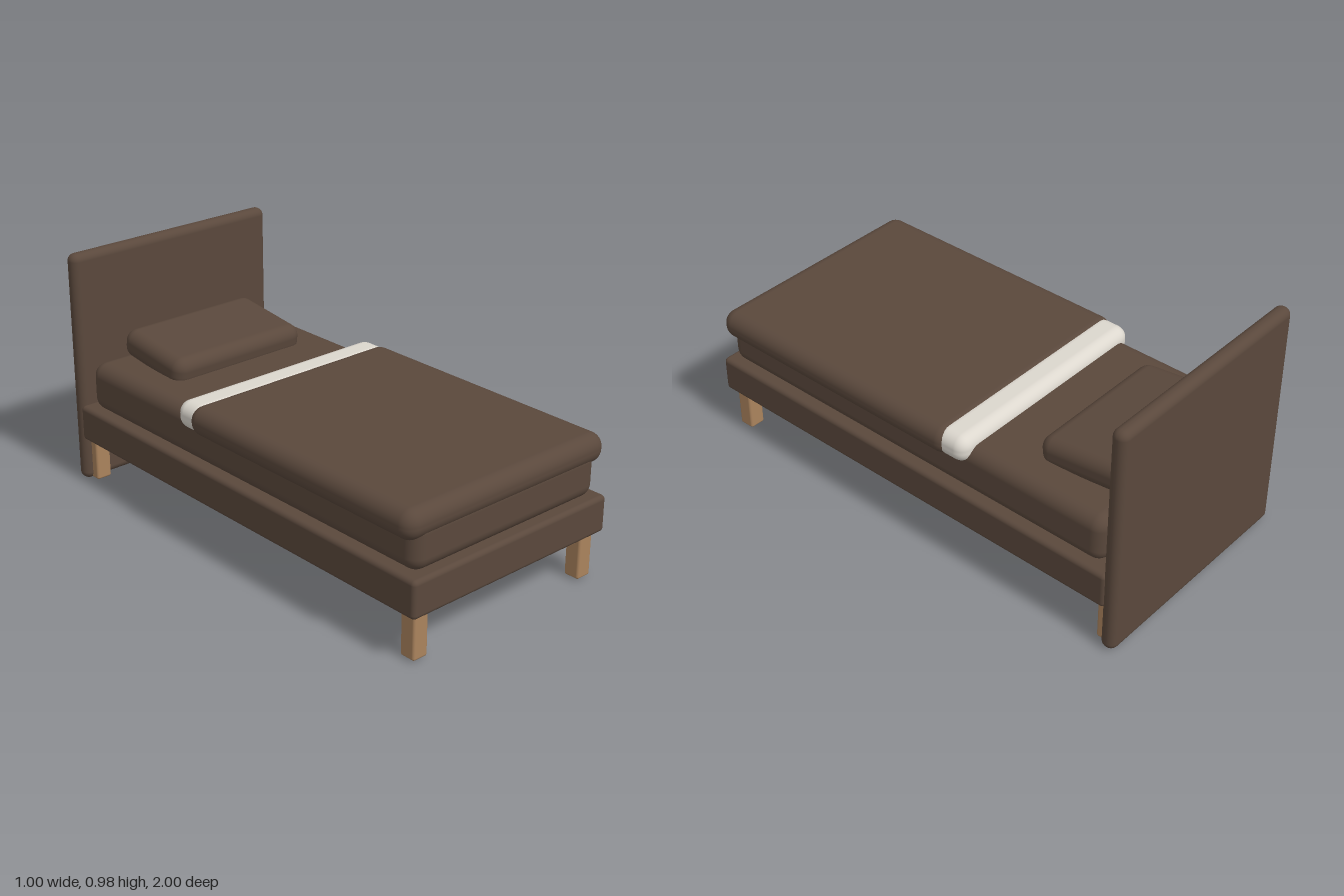
import * as THREE from 'three';
import { RoundedBoxGeometry } from 'three/addons/geometries/RoundedBoxGeometry.js';

function material(name, color) {
  const m = new THREE.MeshStandardMaterial({ color });
  m.name = name;
  return m;
}

// Rounded block given by its [min, max] extents on each axis
function block(name, [x0, x1], [y0, y1], [z0, z1], radius, mat) {
  const geometry = new RoundedBoxGeometry(x1 - x0, y1 - y0, z1 - z0, 5, radius);
  const mesh = new THREE.Mesh(geometry, mat);
  mesh.position.set((x0 + x1) / 2, (y0 + y1) / 2, (z0 + z1) / 2);
  mesh.name = name;
  return mesh;
}

export function createModel() {
  const brown = material('brown fabric', 0x5a483c);
  const wood = material('light wood', 0xaa835d);
  const linen = material('white linen', 0xdcd7ce);

  const bed = new THREE.Group();
  bed.name = 'bed';

  // Upholstered base and headboard
  bed.add(block('headboard', [-0.49, 0.49], [0, 0.98], [-1, -0.935], 0.031, brown));
  bed.add(block('frame', [-0.49, 0.49], [0.187, 0.337], [-0.95, 1], 0.018, brown));

  // Bedding
  bed.add(block('mattress', [-0.46, 0.46], [0.332, 0.532], [-0.91, 0.972], 0.055, brown));
  bed.add(block('quilt', [-0.5, 0.5], [0.46, 0.578], [-0.22, 0.98], 0.055, brown));
  bed.add(block('sheetFold', [-0.49, 0.49], [0.463, 0.576], [-0.3, -0.15], 0.05, linen));

  // Pillow, raised towards the headboard
  const pillow = block('pillow', [-0.32, 0.32], [0.512, 0.634], [-0.88, -0.5], 0.05, brown);
  pillow.rotation.x = 0.12;
  bed.add(pillow);

  // Four square legs
  for (const [end, z] of [['front', 0.938], ['back', -0.935]]) {
    for (const [side, x] of [['Left', 0.424], ['Right', -0.424]]) {
      bed.add(block(`${end}${side}Leg`, [x - 0.034, x + 0.034], [0.005, 0.21],
        [z - 0.034, z + 0.034], 0.01, wood));
    }
  }
  return bed;
}
